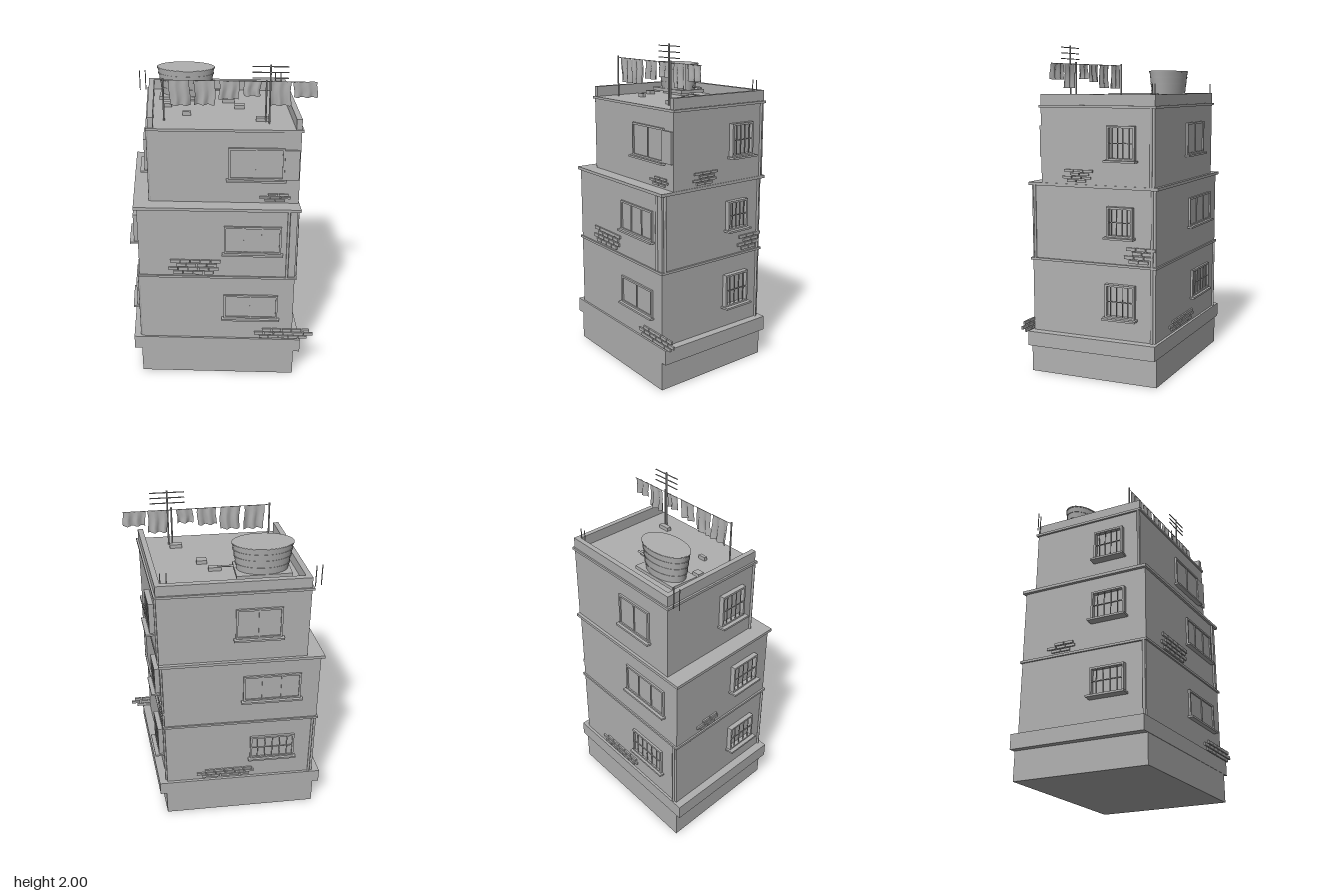
import * as THREE from 'three';

const concrete = new THREE.MeshStandardMaterial({ color: 0xb0b0b0, side: THREE.DoubleSide });
concrete.name = 'concrete grey';

function add(parent, name, geometry, x = 0, y = 0, z = 0) {
  const m = new THREE.Mesh(geometry, concrete);
  m.name = name;
  m.position.set(x, y, z);
  parent.add(m);
  return m;
}
const box = (parent, name, w, h, d, x, y, z) => add(parent, name, new THREE.BoxGeometry(w, h, d), x, y, z);
const rod = (parent, name, r, h, x, y, z) => add(parent, name, new THREE.CylinderGeometry(r, r, h, 8), x, y + h / 2, z);

// Upright prism over a skewed plan; corners are [x, z]
function prism(parent, name, corners, y0, y1) {
  const shape = new THREE.Shape(corners.map(([x, z]) => new THREE.Vector2(x, -z)));
  const g = new THREE.ExtrudeGeometry(shape, { depth: y1 - y0, bevelEnabled: false });
  return add(parent, name, g.rotateX(-Math.PI / 2), 0, y0, 0);
}

// Plans: front left, front right, back right, back left on the page
const basePlan = [[-0.465, 0.43], [0.5, 0.385], [0.38, -0.425], [-0.585, -0.375]];
const plinthPlan = [[-0.51, 0.435], [0.54, 0.385], [0.42, -0.432], [-0.622, -0.38]];
const lowerPlan = [[-0.458, 0.42], [0.487, 0.375], [0.372, -0.412], [-0.573, -0.368]];
const bandPlan = [[-0.468, 0.43], [0.5, 0.384], [0.382, -0.422], [-0.584, -0.377]];
const ledgePlan = [[-0.475, 0.434], [0.508, 0.388], [0.388, -0.43], [-0.594, -0.382]];
const upperPlan = [[-0.385, 0.34], [0.49, 0.3], [0.387, -0.41], [-0.488, -0.37]];
const corniceUpper = [[-0.395, 0.35], [0.503, 0.306], [0.397, -0.42], [-0.502, -0.378]];

// Group lying on one wall: local x runs along it, local z points outward
function onWall(parent, plan, side) {
  const i = ['front', 'right', 'back', 'left'].indexOf(side);
  const a = plan[i], b = plan[(i + 1) % 4];
  const dx = b[0] - a[0], dz = b[1] - a[1];
  const length = Math.hypot(dx, dz);
  const axis = i % 2;
  const g = new THREE.Group();
  g.name = side + 'WallDetails';
  g.position.set(a[0], 0, a[1]);
  g.rotation.y = -Math.atan2(dz, dx);
  parent.add(g);
  return { g, length, at: v => (v - a[axis]) / (b[axis] - a[axis]) * length };
}

// Framed window with sill and optional projecting bars
function windowOn(wall, v0, v1, y0, y1, { mullions = 1, bars = 0, deep = 0.012, sill = 0.03 } = {}) {
  const s0 = Math.min(wall.at(v0), wall.at(v1)), s1 = Math.max(wall.at(v0), wall.at(v1));
  const w = s1 - s0, h = y1 - y0, cx = (s0 + s1) / 2, cy = (y0 + y1) / 2, t = 0.012;
  const g = new THREE.Group();
  g.name = 'window';
  g.position.set(cx, cy, 0);
  wall.g.add(g);
  box(g, 'windowPane', w, h, 0.004, 0, 0, 0.002);
  for (const k of [-1, 1]) {
    box(g, 'frameSide', t, h, deep, k * (w - t) / 2, 0, deep / 2);
    box(g, 'frameRail', w, t, deep, 0, k * (h - t) / 2, deep / 2);
  }
  for (let i = 1; i <= mullions; i++)
    box(g, 'mullion', 0.008, h, 0.009, -w / 2 + w * i / (mullions + 1), 0, 0.0045);
  for (let i = 1; i <= bars; i++)
    rod(g, 'grilleBar', 0.003, h, -w / 2 + w * i / (bars + 1), -h / 2, deep - 0.004);
  if (bars) box(g, 'grilleRail', w, 0.005, 0.005, 0, 0, deep - 0.004);
  box(g, 'windowSill', w + 0.024, 0.012, sill, 0, -h / 2 - 0.004, sill / 2);
}

// Rows of exposed bricks with staggered joints and ragged ends
function bricksOn(wall, v0, v1, y0, y1, rows) {
  const s0 = Math.min(wall.at(v0), wall.at(v1)), s1 = Math.max(wall.at(v0), wall.at(v1));
  const pitch = (y1 - y0) / rows, length = 0.062;
  for (let r = 0; r < rows; r++) {
    const start = s0 + [0.03, 0, 0.05, 0.012][r % 4];
    const end = s1 - [0.04, 0, 0.025, 0][r % 4];
    for (let s = start; s + length * 0.6 < end; s += length) {
      const w = Math.min(length - 0.005, end - s);
      box(wall.g, 'exposedBrick', w, pitch - 0.006, 0.012, s + w / 2, y0 + pitch * (r + 0.5), 0.004);
    }
  }
}

function buildWalls(root) {
  prism(root, 'base', basePlan, 0, 0.176);
  prism(root, 'plinth', plinthPlan, 0.175, 0.265);
  prism(root, 'firstFloor', lowerPlan, 0.26, 0.715);
  prism(root, 'firstBand', bandPlan, 0.711, 0.725);
  prism(root, 'secondFloor', lowerPlan, 0.72, 1.175);
  prism(root, 'ledge', ledgePlan, 1.172, 1.19);
  prism(root, 'thirdFloor', upperPlan, 1.185, 1.65);
  prism(root, 'roofBand', corniceUpper, 1.637, 1.652);

  // Parapet on three sides, the front stays open
  const [fl, fr, br, bl] = upperPlan;
  const fl2 = [-0.353, 0.339], fr2 = [0.458, 0.301], br2 = [0.36, -0.377], bl2 = [-0.451, -0.34];
  prism(root, 'parapet', [fl, fl2, bl2, br2, fr2, fr, br, bl], 1.645, 1.715);

  // Drain pipes and corner strips
  for (const [x, z, y0, y1] of [
    [0.438, 0.38, 0.725, 1.175], [0.489, 0.355, 0.725, 1.175], [0.378, -0.39, 0.265, 0.715],
    [0.378, -0.39, 0.725, 1.175], [0.392, -0.388, 1.19, 1.64], [-0.39, 0.33, 1.19, 1.64],
    [-0.55, -0.373, 0.265, 0.715], [-0.464, 0.408, 0.265, 0.715],
  ]) rod(root, 'cornerPipe', 0.008, y1 - y0, x, y0, z);
}

function buildOpenings(root) {
  const low = side => onWall(root, lowerPlan, side);
  const high = side => onWall(root, upperPlan, side);
  const front = low('front'), right = low('right'), back = low('back'), left = low('left');
  const front3 = high('front'), right3 = high('right'), back3 = high('back'), left3 = high('left');

  windowOn(front, 0.055, 0.39, 0.42, 0.59);
  windowOn(front, 0.057, 0.398, 0.888, 1.07, { mullions: 2 });
  windowOn(front3, 0.075, 0.4, 1.342, 1.54);
  box(front3.g, 'shutter', 0.085, 0.185, 0.012, front3.at(0.443), 1.437, 0.006);

  const grille = { mullions: 0, bars: 4, deep: 0.03, sill: 0.055 };
  windowOn(right, -0.105, -0.29, 0.4, 0.605, grille);
  windowOn(right, -0.118, -0.277, 0.888, 1.068, grille);
  windowOn(right3, -0.128, -0.298, 1.34, 1.538, grille);

  windowOn(back, -0.16, -0.44, 0.42, 0.595, { mullions: 0, bars: 5, deep: 0.014 });
  windowOn(back, -0.11, -0.46, 0.888, 1.07, { mullions: 2 });
  windowOn(back3, -0.06, -0.33, 1.342, 1.54);

  windowOn(left, 0.09, 0.3, 0.42, 0.592, grille);
  windowOn(left, 0.09, 0.3, 0.888, 1.07, grille);
  windowOn(left3, 0.045, 0.235, 1.342, 1.54, grille);

  bricksOn(front, 0.25, 0.62, 0.27, 0.345, 3);
  bricksOn(front, -0.28, 0.06, 0.735, 0.84, 4);
  bricksOn(front3, 0.26, 0.465, 1.2, 1.255, 3);
  bricksOn(right, -0.22, -0.44, 0.735, 0.835, 4);
  bricksOn(right3, 0.16, -0.06, 1.2, 1.28, 4);
  bricksOn(back, 0.18, -0.2, 0.28, 0.345, 3);
  bricksOn(left, -0.2, 0.0, 0.735, 0.8, 3);
}

function buildRoof(root) {
  // Oval water tank with hoops on a slab
  const tank = new THREE.Group();
  tank.name = 'waterTank';
  tank.position.set(-0.225, 1.69, -0.185);
  tank.scale.set(1, 1, 0.59);
  root.add(tank);
  add(tank, 'tankBody', new THREE.CylinderGeometry(0.175, 0.148, 0.165, 40), 0, 0.0825, 0);
  for (const y of [0.04, 0.085, 0.125, 0.16]) {
    const r = 0.15 + 0.027 * y / 0.165;
    add(tank, 'tankHoop', new THREE.CylinderGeometry(r + 0.002, r + 0.001, 0.007, 40), 0, y, 0);
  }
  box(root, 'tankSlab', 0.32, 0.02, 0.18, -0.225, 1.68, -0.185).rotation.y = 0.06;
  box(root, 'tankSupport', 0.22, 0.024, 0.1, -0.225, 1.661, -0.185);
  rod(root, 'tankPipe', 0.006, 0.09, -0.015, 1.665, -0.193).rotation.z = Math.PI / 2;

  // Loose bricks
  for (const [x, z, w, d] of [[-0.32, -0.03, 0.05, 0.04], [0.042, -0.13, 0.075, 0.03],
    [0.115, -0.035, 0.06, 0.045], [-0.187, 0.11, 0.05, 0.02], [0.26, 0.17, 0.075, 0.03]])
    box(root, 'looseBrick', w, 0.025, d, x, 1.662, z).rotation.y = 0.06;

  // Washing line
  rod(root, 'linePost', 0.005, 0.255, -0.308, 1.65, 0.212);
  rod(root, 'linePost', 0.005, 0.255, 0.28, 1.65, 0.186);
  const cord = new THREE.LineCurve3(new THREE.Vector3(-0.308, 1.895, 0.212), new THREE.Vector3(0.565, 1.89, 0.166));
  add(root, 'washingLine', new THREE.TubeGeometry(cord, 1, 0.002, 6));
  for (const [x0, x1, y0] of [[-0.275, -0.155, 1.745], [-0.13, -0.012, 1.75], [0.012, 0.125, 1.785],
    [0.152, 0.247, 1.805], [0.305, 0.42, 1.75], [0.435, 0.567, 1.8]]) {
    const w = x1 - x0, h = 1.893 - y0;
    const g = new THREE.PlaneGeometry(w, h, 10, 5);
    const p = g.attributes.position;
    for (let i = 0; i < p.count; i++) {
      const drop = 0.5 - p.getY(i) / h;
      p.setZ(i, 0.009 * Math.sin(p.getX(i) * 110 + x0 * 30) * (0.4 + drop));
      p.setX(i, p.getX(i) + 0.004 * Math.sin(drop * 5 + x0 * 9));
    }
    g.computeVertexNormals();
    const x = (x0 + x1) / 2;
    add(root, 'laundry', g, x, y0 + h / 2, 0.196 - 0.053 * x).rotation.y = 0.053;
  }

  // Aerial
  rod(root, 'aerialMast', 0.005, 0.355, 0.302, 1.645, 0.212);
  for (const y of [1.988, 1.955, 1.922])
    box(root, 'aerialArm', 0.205, 0.005, 0.005, 0.302, y, 0.212).rotation.y = 0.05;

  // Bare reinforcing rods
  for (const [x, z] of [[-0.543, -0.333], [-0.508, -0.345], [0.322, -0.373], [0.357, -0.375]])
    rod(root, 'reinforcingRod', 0.003, 0.13, x, 1.645, z);
}

export function createModel() {
  const root = new THREE.Group();
  root.name = 'building';
  buildWalls(root);
  buildOpenings(root);
  buildRoof(root);
  return root;
}
